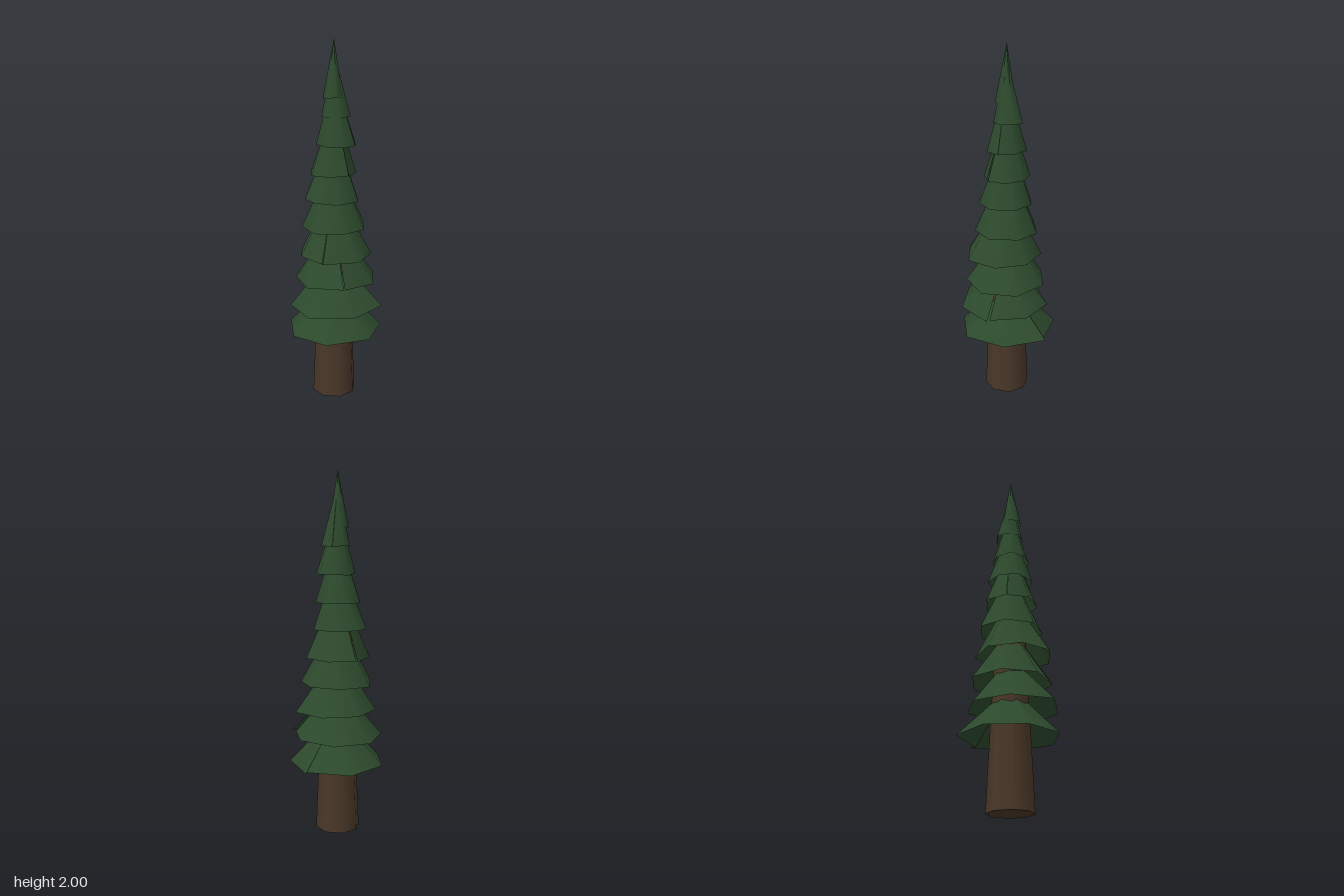
import * as THREE from 'three';

const SIDES = 7;

// small seeded generator, returns -1..1
function seeded(seed) {
  let s = seed;
  return () => {
    s = (s * 16807) % 2147483647;
    return (s / 2147483647) * 2 - 1;
  };
}

// open cone with an uneven rim; its two seam corners do not quite meet
function boughGeometry({ y, height, seam, radii, cx = 0, cz = 0, rand }) {
  const geo = new THREE.ConeGeometry(1, height, SIDES, 1, true);
  const pos = geo.attributes.position;
  for (let i = 0; i <= SIDES; i++) {
    const a = THREE.MathUtils.degToRad(seam + (i * 360) / SIDES + rand() * 2);
    const r = radii[i];
    pos.setXYZ(i, 0, y + height, 0);
    pos.setXYZ(SIDES + 1 + i, cx + Math.sin(a) * r, y + rand() * 0.004, cz + Math.cos(a) * r);
  }
  geo.computeVertexNormals();
  return geo;
}

export function createModel() {
  const tree = new THREE.Group();
  tree.name = 'coniferTree';
  const bark = new THREE.MeshStandardMaterial({ color: 0x4a3728 });
  bark.name = 'bark';
  const needles = new THREE.MeshStandardMaterial({ color: 0x2d4a2d, side: THREE.DoubleSide });
  needles.name = 'needles';
  const rand = seeded(4711);

  // tapering trunk, running up inside the boughs
  const trunk = new THREE.Mesh(new THREE.CylinderGeometry(0.073, 0.125, 1.2, 8), bark);
  trunk.name = 'trunk';
  trunk.position.y = 0.6;
  tree.add(trunk);

  // bough tiers: base height, rim radius (or each corner), cone height, seam angle, rim offset
  const tiers = [
    [0.39, [0.277, 0.283, 0.267, 0.265, 0.268, 0.277, 0.27, 0.29], 0.28, 176, 0, 0],
    [0.54, [0.25, 0.24, 0.235, 0.245, 0.25, 0.286, 0.265, 0.275], 0.3, 105, 0, 0],
    [0.69, 0.228, 0.33, 40, 0.01, -0.007],
    [0.84, 0.207, 0.38, 12, 0.014, 0.014],
    [0.99, 0.18, 0.4, 250, 0.003, -0.002],
    [1.145, 0.152, 0.4, 300, -0.007, 0.012],
    [1.29, 0.126, 0.39, 75, -0.007, 0.007],
    [1.445, 0.106, 0.37, 105, 0.012, -0.005],
    [1.595, 0.08, 0.33, 200, 0.005, -0.016],
    [1.694, 0.055, 0.306, 150, -0.002, 0.008],
  ];
  tiers.forEach(([y, rim, height, seam, cx, cz], n) => {
    const radii = Array.isArray(rim)
      ? rim
      : Array.from({ length: SIDES + 1 }, () => rim * (1 + rand() * 0.05));
    const bough = new THREE.Mesh(boughGeometry({ y, height, seam, radii, cx, cz, rand }), needles);
    bough.name = n === tiers.length - 1 ? 'treeTip' : `boughTier${n + 1}`;
    tree.add(bough);
  });
  return tree;
}
